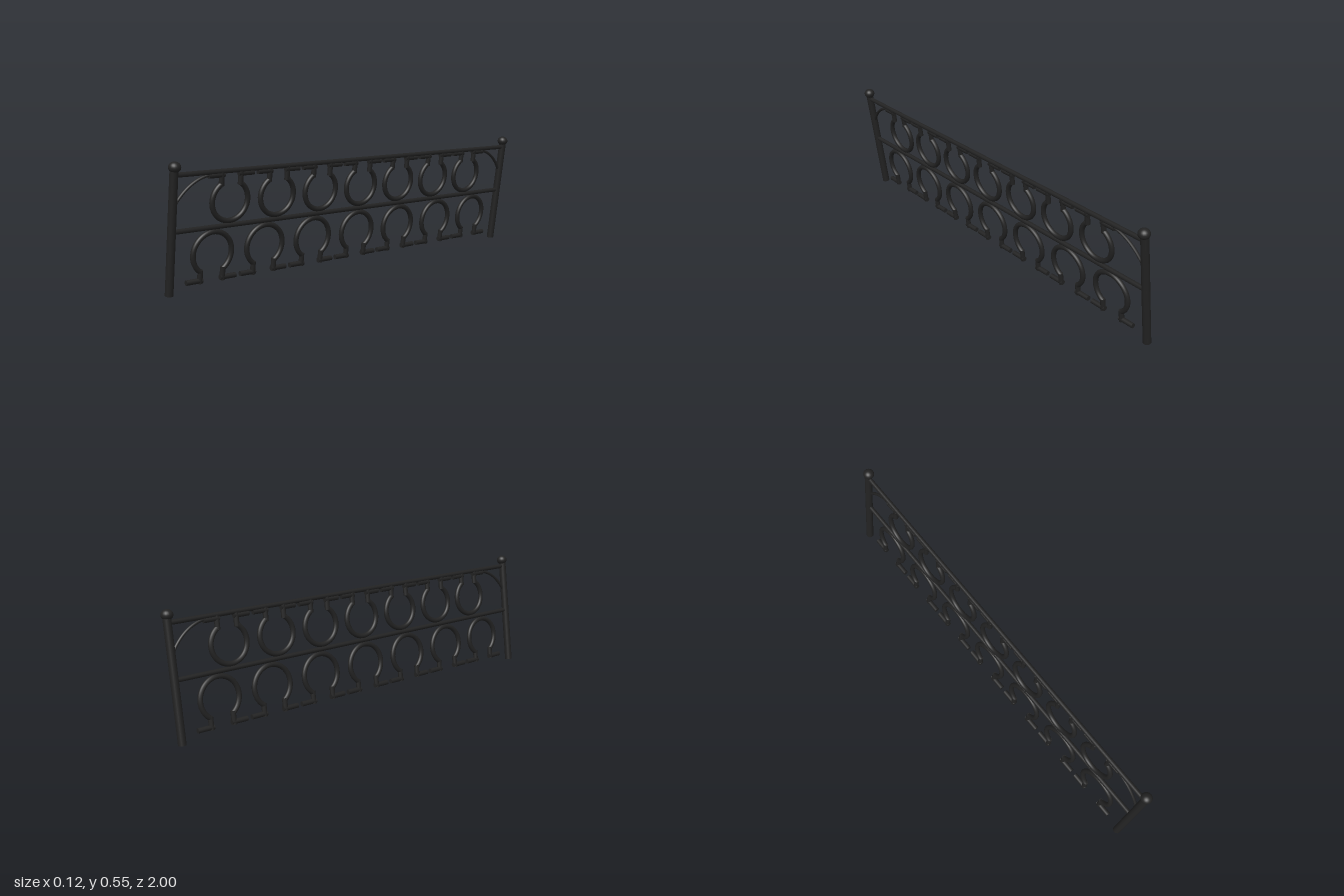
import * as THREE from 'three';

const material = new THREE.MeshStandardMaterial({ color: 0x222222 });
const TILT = 0.139;

function add(parent, name, geometry) {
  const mesh = new THREE.Mesh(geometry, material);
  mesh.name = name;
  parent.add(mesh);
  return mesh;
}

// Round bar between two points of the fence plane, given as [z, y]
function bar(parent, name, [z0, y0], [z1, y1], radius, sides = 12) {
  const a = new THREE.Vector3(0, y0, z0);
  const b = new THREE.Vector3(0, y1, z1);
  const mesh = add(parent, name, new THREE.CylinderGeometry(radius, radius, a.distanceTo(b), sides));
  mesh.position.copy(a).add(b).multiplyScalar(0.5);
  mesh.quaternion.setFromUnitVectors(new THREE.Vector3(0, 1, 0), b.sub(a).normalize());
  return mesh;
}

// Open ring with two short legs and outward feet, opening downwards
function horseshoe(name, ringRadius, legZ, footY, footEnd) {
  const r = 0.0115;
  const group = new THREE.Group();
  group.name = name;
  const gap = Math.asin(legZ / ringRadius);
  const ring = add(group, 'ring', new THREE.TorusGeometry(ringRadius, r, 10, 40, 2 * (Math.PI - gap)));
  ring.rotation.set(0, Math.PI / 2, 0);
  ring.geometry.rotateZ(gap - Math.PI / 2);
  const ringEnd = -ringRadius * Math.cos(gap);
  for (const s of [-1, 1]) {
    bar(group, 'leg', [s * legZ, ringEnd + 0.008], [s * legZ, footY - r], r, 10);
    bar(group, 'foot', [s * (legZ - r), footY], [s * footEnd, footY], r, 10);
  }
  return group;
}

export function createModel() {
  const model = new THREE.Group();
  model.name = 'railing';

  // All parts lie in one plane that leans sideways
  const fence = new THREE.Group();
  fence.name = 'leaningFence';
  fence.rotation.z = -TILT;
  fence.position.set(-0.041, 0.0025, 0);
  model.add(fence);

  // Posts, ball caps and curved corner braces
  for (const s of [-1, 1]) {
    bar(fence, 'post', [s * 0.977, 0], [s * 0.977, 0.525], 0.0175, 20);
    const cap = add(fence, 'ballCap', new THREE.SphereGeometry(0.0255, 20, 14));
    cap.position.set(0, 0.532, s * 0.9745);
    cap.scale.y = 0.9;
    const curve = new THREE.QuadraticBezierCurve3(
      new THREE.Vector3(0, 0.372, s * 0.972),
      new THREE.Vector3(0, 0.492, s * 0.9),
      new THREE.Vector3(0, 0.492, s * 0.78));
    add(fence, 'cornerBrace', new THREE.TubeGeometry(curve, 20, 0.007, 8));
  }

  // Rails
  bar(fence, 'topRail', [-0.977, 0.5], [0.977, 0.5], 0.0105);
  bar(fence, 'middleRail', [-0.977, 0.267], [0.977, 0.267], 0.0105);

  // Seven upright shapes below, seven inverted ones above
  for (let i = -3; i <= 3; i++) {
    const lower = horseshoe('lowerHorseshoe', 0.092, 0.054, -0.113, 0.119);
    lower.position.set(0, 0.155, i * 0.261);
    fence.add(lower);
    const upper = horseshoe('upperHorseshoe', 0.086, 0.046, -0.112, 0.108);
    upper.position.set(0, 0.373, i * 0.237);
    upper.rotation.x = Math.PI;
    fence.add(upper);
  }
  return model;
}
